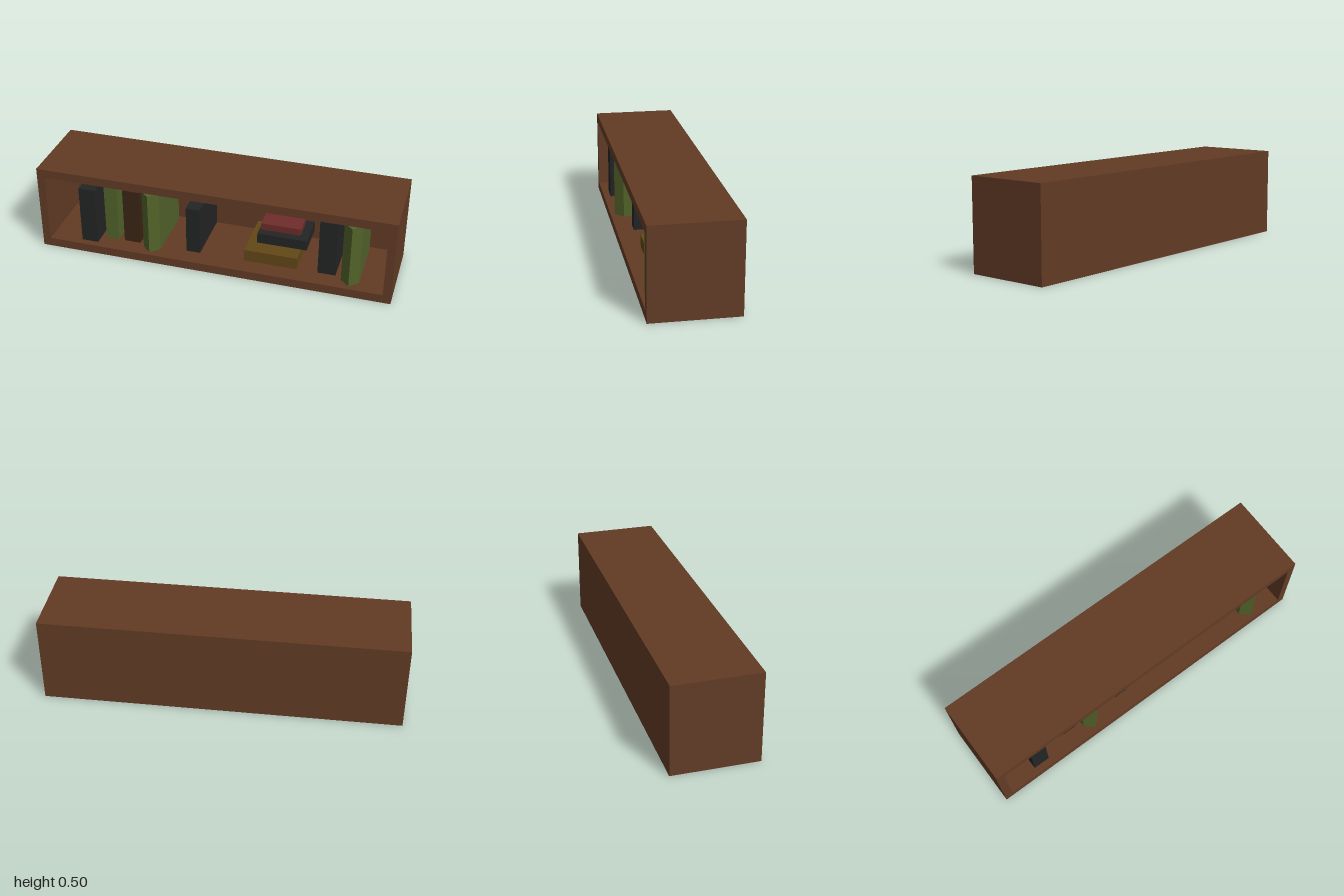
import * as THREE from 'three';

const WOOD = 0x623b25, GREEN = 0x52622a, BLACK = 0x232425, BROWN = 0x3c2414, RED = 0x702c2c, OCHRE = 0x624818;
const FLOOR = 0.05, BACK = -0.19;

function addMesh(parent, name, geometry, color) {
  const material = new THREE.MeshStandardMaterial({ color, flatShading: true });
  const mesh = new THREE.Mesh(geometry, material);
  mesh.name = name;
  parent.add(mesh);
  return mesh;
}

// Box given by its extents on each axis
function addBlock(parent, name, color, [x0, x1], [y0, y1], [z0, z1]) {
  const mesh = addMesh(parent, name, new THREE.BoxGeometry(x1 - x0, y1 - y0, z1 - z0), color);
  mesh.position.set((x0 + x1) / 2, (y0 + y1) / 2, (z0 + z1) / 2);
}

// Upright book whose spine comes to a ridge at the front
function addRidgedBook(parent, name, color, x) {
  const footprint = new THREE.Shape([
    [-0.05, 0.165], [-0.05, -0.165], [0.05, -0.165], [0.05, 0.165], [0, 0.213],
  ].map(([px, pz]) => new THREE.Vector2(px, -pz)));
  const geometry = new THREE.ExtrudeGeometry(footprint, { depth: 0.365, bevelEnabled: false });
  geometry.rotateX(-Math.PI / 2);
  addMesh(parent, name, geometry, color).position.set(x, FLOOR, 0);
}

function rect(PathType, x0, y0, x1, y1) {
  return new PathType([[x0, y0], [x1, y0], [x1, y1], [x0, y1]].map(p => new THREE.Vector2(...p)));
}

export function createModel() {
  const model = new THREE.Group();
  model.name = 'bookshelf';

  // Case: outer frame with a rectangular opening, closed by a back panel
  const outline = rect(THREE.Shape, -1, 0, 1, 0.5);
  outline.holes.push(rect(THREE.Path, -0.955, FLOOR, 0.955, 0.45));
  const frame = new THREE.ExtrudeGeometry(outline, { depth: 0.2375 - BACK, bevelEnabled: false });
  addMesh(model, 'caseFrame', frame, WOOD).position.z = BACK;
  addBlock(model, 'backPanel', WOOD, [-1, 1], [0, 0.5], [-0.2375, BACK]);

  // Upright books: colour, x range, top, z range
  const upright = [
    [BLACK, [-0.775, -0.68], 0.39, [-0.13, 0.198]],
    [GREEN, [-0.65, -0.575], 0.41, [BACK, 0.138]],
    [BROWN, [-0.54, -0.445], 0.38, [BACK, 0.138]],
    [BLACK, [-0.17, -0.09], 0.33, [BACK, 0.138]],
    [BLACK, [0.58, 0.68], 0.38, [BACK, 0.135]],
  ];
  for (const [color, x, top, z] of upright) addBlock(model, 'uprightBook', color, x, [FLOOR, top], z);
  for (const x of [-0.365, 0.765]) addRidgedBook(model, 'ridgedBook', GREEN, x);

  // Stack of books lying flat
  const stack = new THREE.Group();
  stack.name = 'bookStack';
  addBlock(stack, 'bottomBook', OCHRE, [0.165, 0.465], [FLOOR, 0.12], [-0.17, 0.138]);
  addBlock(stack, 'middleBook', BLACK, [0.215, 0.497], [0.12, 0.18], [-0.16, 0.046]);
  addBlock(stack, 'topBook', RED, [0.225, 0.45], [0.18, 0.22], [-0.13, 0]);
  model.add(stack);

  return model;
}
